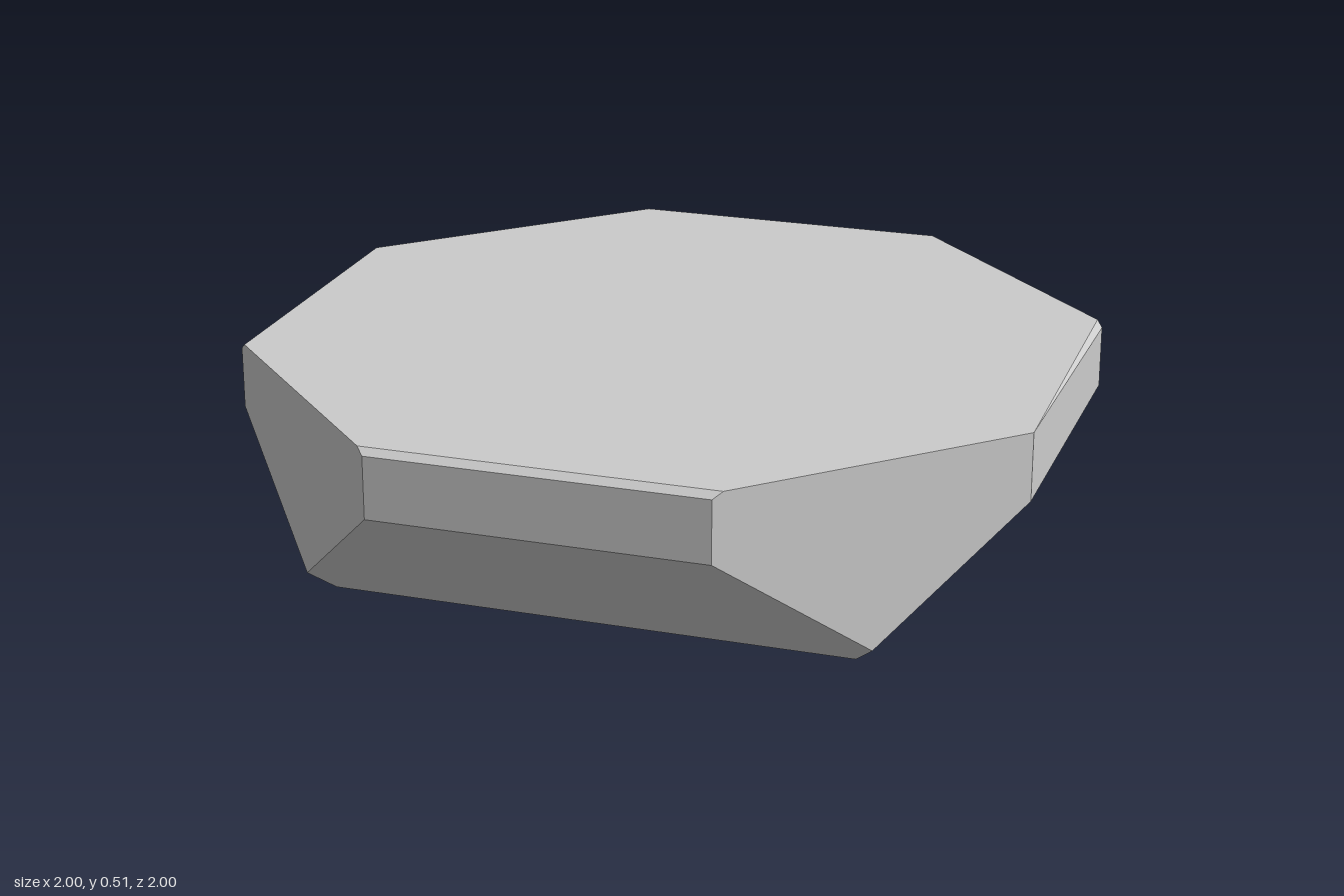
import * as THREE from 'three';
import { ConvexGeometry } from 'three/addons/geometries/ConvexGeometry.js';

export function createModel() {
  const group = new THREE.Group();
  group.name = 'bevelledSlab';

  const a = Math.SQRT2 - 1;      // half side of the octagon
  const d = Math.SQRT1_2;        // where the diagonal walls meet in a point
  const top = 0.515, chamfer = 0.5, wall = 0.345;
  const tip = wall - (1 - d);    // undersides slope at 45 degrees
  const base = d - tip;          // half side of the square foot
  const points = [];
  const add = (x, y, z) => points.push(new THREE.Vector3(x, y, z));

  // Square foot, corner tips and the lower rim of the octagon
  for (const sx of [-1, 1]) {
    for (const sz of [-1, 1]) {
      add(sx * base, 0, sz * base);
      add(sx * d, tip, sz * d);
      add(sx, wall, sz * a);
      add(sx * a, wall, sz);
    }
    // Sharp back edge, chamfered front edge
    add(sx * a, top, -1);
    add(sx * a, chamfer, 1);
    add(sx * (a + 0.02), top, 0.98);
    // Side edges with a chamfer that tapers away to one end
    add(sx, top, sx * a);
    add(sx, chamfer, -sx * a);
    add(sx * 0.985, top, -sx * (a + 0.015));
  }

  const slab = new THREE.Mesh(
    new ConvexGeometry(points),
    new THREE.MeshStandardMaterial({ color: 0xcccccc, flatShading: true })
  );
  slab.name = 'slab';
  group.add(slab);
  return group;
}
